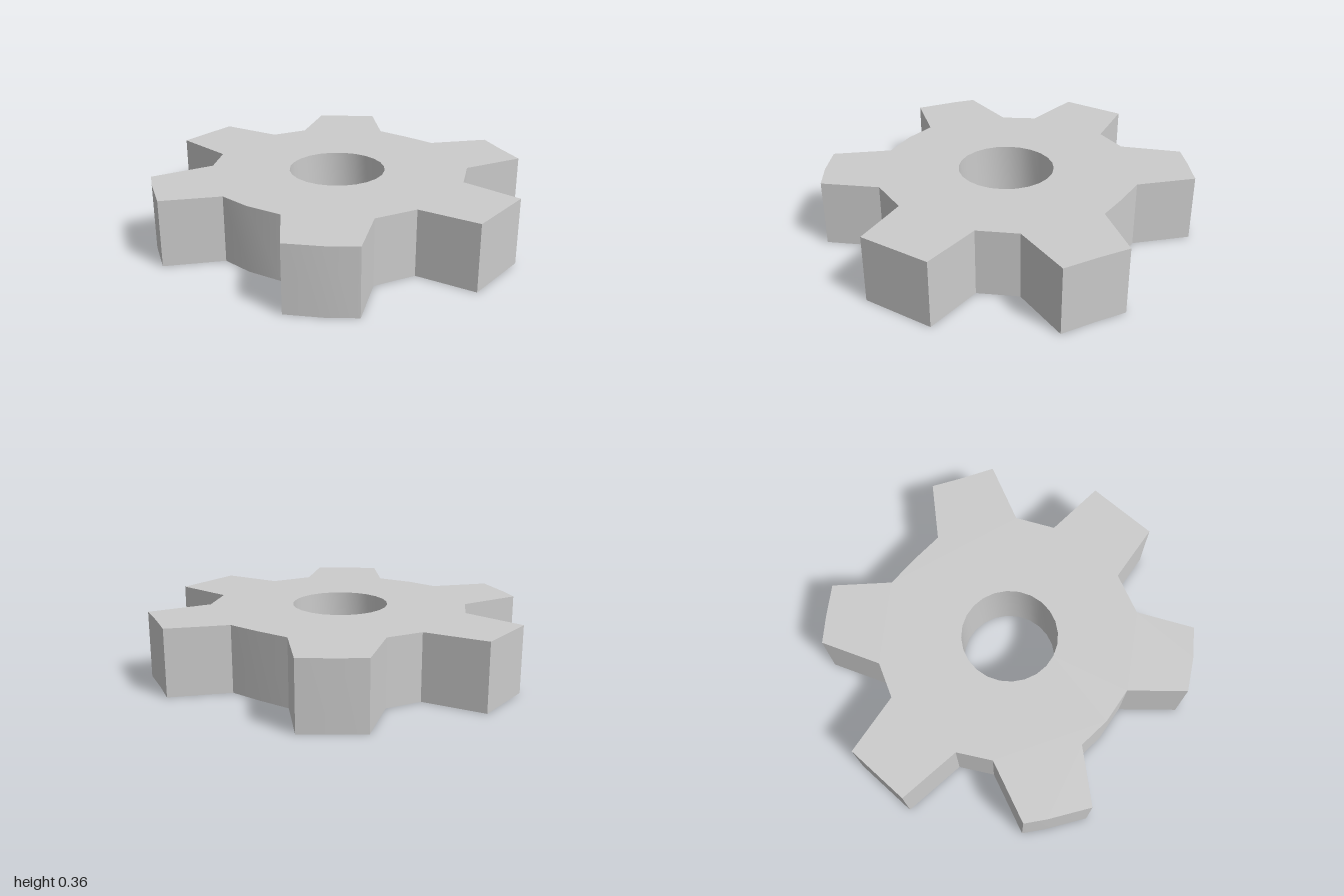
import * as THREE from 'three';
import { toCreasedNormals } from 'three/addons/utils/BufferGeometryUtils.js';

const THICKNESS = 0.36;

// Slightly irregular six-tooth outline as [x, z], tooth by tooth
const OUTLINE = [
  [-0.19, -1], [0.17, -1], // back tooth
  [0.22, -0.66], [0.4, -0.57],
  [0.71, -0.69], [0.8, -0.575], [0.91, -0.42], // back left tooth
  [0.68, -0.19], [0.685, 0], [0.68, 0.18],
  [0.93, 0.4], [0.84, 0.55], [0.75, 0.715], // front left tooth
  [0.435, 0.565], [0.235, 0.66],
  [0.215, 1], [-0.18, 1], // front tooth
  [-0.22, 0.67], [-0.435, 0.57],
  [-0.72, 0.705], [-0.82, 0.57], [-0.915, 0.4], // front right tooth
  [-0.675, 0.19], [-0.7, -0.01], [-0.685, -0.19],
  [-0.93, -0.4], [-0.8, -0.595], [-0.725, -0.69], // back right tooth
  [-0.4, -0.555], [-0.23, -0.65],
];

export function createModel() {
  const group = new THREE.Group();
  group.name = 'gear';

  // Toothed plate with a round shaft hole
  const shape = new THREE.Shape(OUTLINE.map(([x, z]) => new THREE.Vector2(x, z)));
  const hole = new THREE.Path();
  hole.absarc(-0.01, 0.01, 0.26, 0, Math.PI * 2, true);
  shape.holes.push(hole);

  // Lay the extrusion flat, standing on y = 0
  const geometry = new THREE.ExtrudeGeometry(shape, {
    depth: THICKNESS, bevelEnabled: false, curveSegments: 12,
  });
  geometry.rotateX(Math.PI / 2);
  geometry.translate(0, THICKNESS, 0);

  const gear = new THREE.Mesh(
    toCreasedNormals(geometry, 0.35),
    new THREE.MeshStandardMaterial({ color: 0xcccccc }),
  );
  gear.name = 'toothedWheel';
  group.add(gear);
  return group;
}
